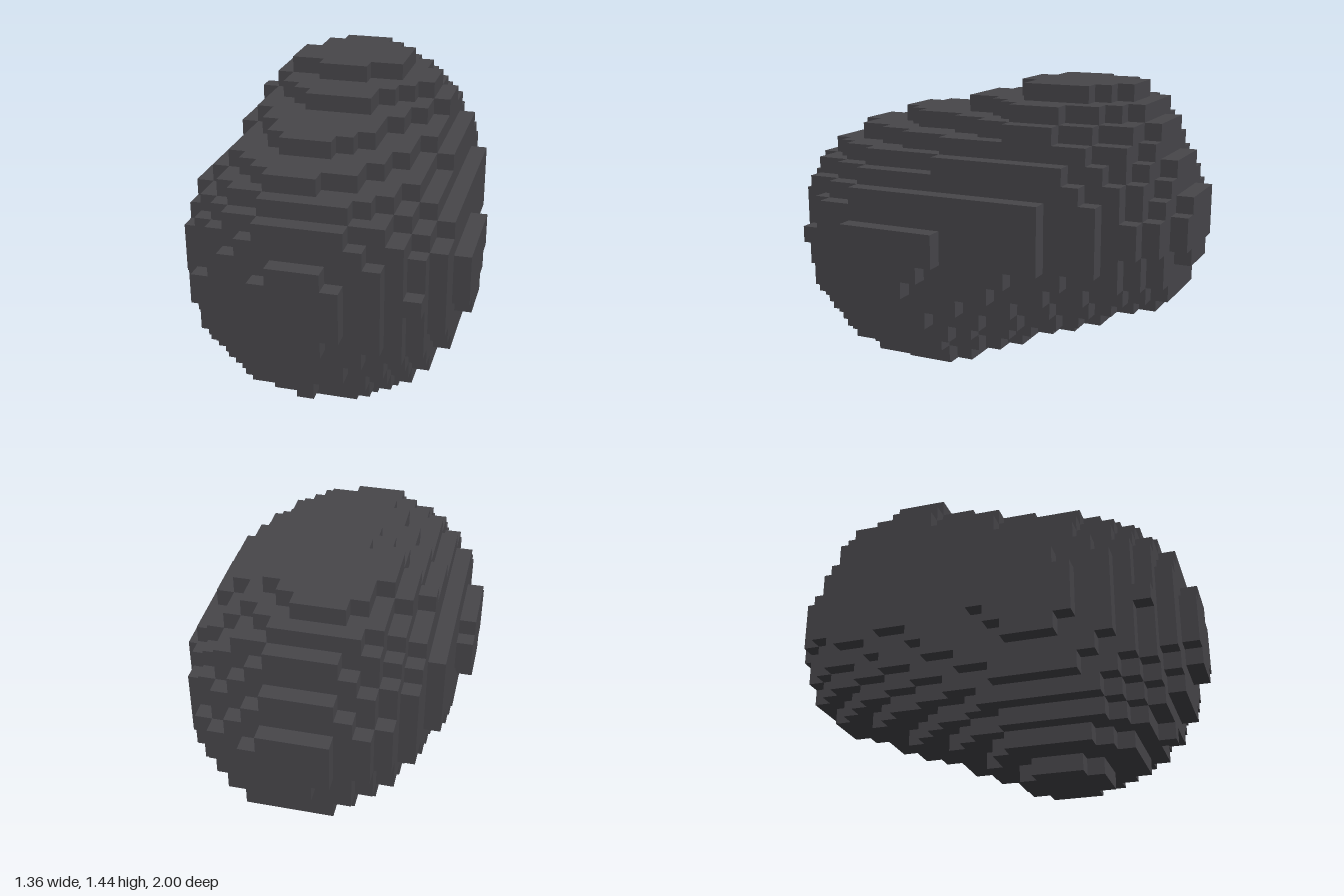
import * as THREE from 'three';

const CELL = 0.08;
const NX = 17, NY = 18, NZ = 25;

// Cross-sections along the body: z, bottom, top, half width, height of widest point
const SECTIONS = [
  [-0.96, 0.61, 0.98, 0.20, 0.80],
  [-0.88, 0.48, 1.12, 0.34, 0.80],
  [-0.80, 0.42, 1.28, 0.41, 0.80],
  [-0.72, 0.39, 1.37, 0.46, 0.80],
  [-0.64, 0.37, 1.42, 0.505, 0.80],
  [-0.56, 0.33, 1.46, 0.53, 0.80],
  [-0.40, 0.26, 1.47, 0.585, 0.80],
  [-0.24, 0.207, 1.48, 0.60, 0.767],
  [-0.16, 0.18, 1.42, 0.615, 0.75],
  [0.00, 0.11, 1.36, 0.63, 0.71],
  [0.08, 0.07, 1.34, 0.645, 0.69],
  [0.16, 0.03, 1.31, 0.66, 0.68],
  [0.32, 0.00, 1.28, 0.669, 0.68],
  [0.48, 0.03, 1.245, 0.65, 0.68],
  [0.64, 0.08, 1.20, 0.60, 0.68],
  [0.72, 0.13, 1.167, 0.55, 0.68],
  [0.80, 0.195, 1.14, 0.485, 0.68],
  [0.88, 0.293, 1.05, 0.385, 0.68],
  [0.96, 0.45, 0.91, 0.21, 0.68],
];

// Blend the two neighbouring cross-sections at z
function sectionAt(z) {
  let i = 0;
  while (i < SECTIONS.length - 2 && z > SECTIONS[i + 1][0]) i++;
  const a = SECTIONS[i], b = SECTIONS[i + 1];
  const t = THREE.MathUtils.clamp((z - a[0]) / (b[0] - a[0]), 0, 1);
  return a.map((v, k) => v + (b[k] - v) * t);
}

// Is the cell inside the rounded body?
function filled(i, j, k) {
  if (i < 0 || j < 0 || k < 0 || i >= NX || j >= NY || k >= NZ) return false;
  const x = (i - (NX - 1) / 2) * CELL;
  const y = (j + 0.5) * CELL;
  const z = (k - (NZ - 1) / 2) * CELL;
  const [, bottom, top, half, mid] = sectionAt(z);
  const v = y > mid ? (y - mid) / (top - mid) : (y - mid) / (mid - bottom);
  const lean = z < 0.76 && v > 0 ? -0.08 * v * v : 0; // the crown leans slightly to one side
  const u = (x - lean) / half;
  return u * u + v * v < 1;
}

// Emit only the exposed faces of the filled cells
function blockGeometry() {
  const positions = [], normals = [], indices = [];
  const origin = [-NX * CELL / 2, 0, -NZ * CELL / 2];
  for (let i = 0; i < NX; i++) for (let j = 0; j < NY; j++) for (let k = 0; k < NZ; k++) {
    if (!filled(i, j, k)) continue;
    const cell = [i, j, k];
    for (let axis = 0; axis < 3; axis++) for (const side of [1, -1]) {
      const next = [...cell];
      next[axis] += side;
      if (filled(...next)) continue;
      const a = (axis + 1) % 3, b = (axis + 2) % 3;
      const corners = [[0, 0], [1, 0], [1, 1], [0, 1]];
      if (side < 0) corners.reverse();
      const start = positions.length / 3;
      for (const [p, q] of corners) {
        const c = [...cell];
        c[axis] += side > 0 ? 1 : 0;
        c[a] += p;
        c[b] += q;
        positions.push(...c.map((n, d) => origin[d] + n * CELL));
        const normal = [0, 0, 0];
        normal[axis] = side;
        normals.push(...normal);
      }
      indices.push(start, start + 1, start + 2, start, start + 2, start + 3);
    }
  }
  const geometry = new THREE.BufferGeometry();
  geometry.setAttribute('position', new THREE.Float32BufferAttribute(positions, 3));
  geometry.setAttribute('normal', new THREE.Float32BufferAttribute(normals, 3));
  geometry.setIndex(indices);
  return geometry;
}

export function createModel() {
  const stone = new THREE.MeshStandardMaterial({ color: 0x47464a });
  stone.name = 'dark grey stone';

  const boulder = new THREE.Mesh(blockGeometry(), stone);
  boulder.name = 'boulder';

  const model = new THREE.Group();
  model.name = 'blockBoulder';
  model.add(boulder);
  return model;
}
